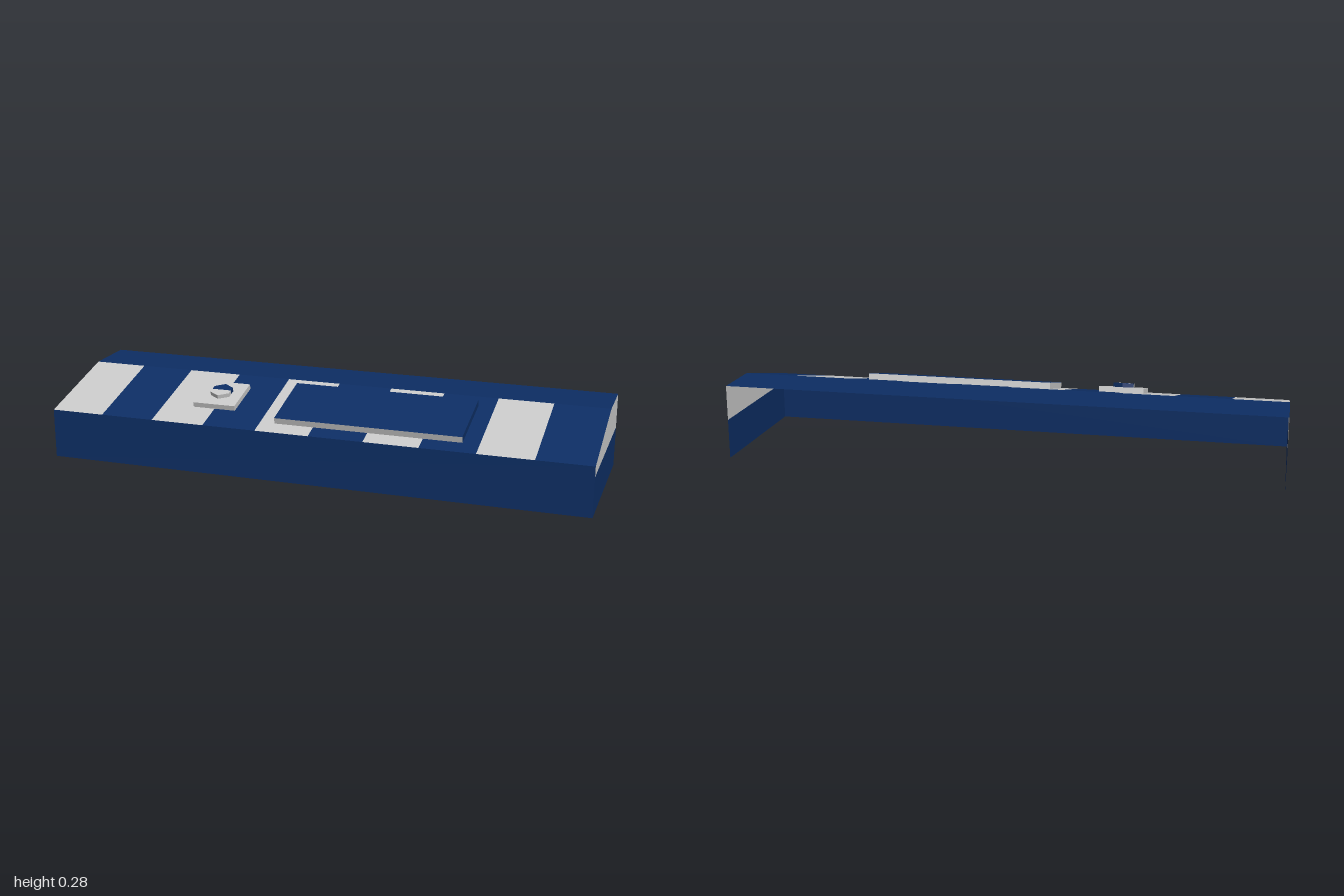
import * as THREE from 'three';

const D = 0.278, LOW = 0.182, HIGH = 0.273, RIDGE = -0.085, SPLIT = 0.145;
const TILT = Math.atan2(HIGH - LOW, D - RIDGE);
const SLOPE = Math.hypot(HIGH - LOW, D - RIDGE);

export function createModel() {
  const root = new THREE.Group();
  root.name = 'casing';
  const material = (name, color) => {
    const m = new THREE.MeshStandardMaterial({ color, side: THREE.DoubleSide });
    m.name = name;
    return m;
  };
  const navy = material('navy', 0x0d2e64);
  const grey = material('lightGrey', 0xcacaca);

  const add = (parent, name, geometry, mat) => {
    const mesh = new THREE.Mesh(geometry, mat);
    mesh.name = name;
    parent.add(mesh);
    return mesh;
  };
  // Flat polygon in xy at height z, with an optional hole
  const flat = (pts, z = 0, hole) => {
    const shape = new THREE.Shape(pts.map(p => new THREE.Vector2(...p)));
    if (hole) shape.holes.push(new THREE.Path(hole.map(p => new THREE.Vector2(...p))));
    return new THREE.ShapeGeometry(shape).translate(0, 0, z);
  };
  const rect = (x0, x1, y0, y1) => [[x0, y0], [x1, y0], [x1, y1], [x0, y1]];
  // Upright strip following a counter-clockwise line of points
  const wall = (pts, z0, z1) => {
    const v = [];
    for (let i = 0; i < pts.length - 1; i++) {
      const [a, b] = [pts[i], pts[i + 1]];
      v.push(...a, z0, ...b, z0, ...b, z1, ...a, z0, ...b, z1, ...a, z1);
    }
    const g = new THREE.BufferGeometry();
    g.setAttribute('position', new THREE.Float32BufferAttribute(v, 3));
    g.computeVertexNormals();
    return g;
  };

  // Shell: front wall, flat rear top and two-tone ends; back and bottom are open
  add(root, 'frontWall', flat(rect(-1, 1, 0, LOW), D), navy);
  add(root, 'rearTop', flat(rect(-1, 1, -RIDGE, D)).rotateX(-Math.PI / 2), navy).position.y = HIGH;
  for (const s of [1, -1]) {
    const end = (name, pts, mat) => add(root, name,
      flat(pts.map(([z, y]) => [-s * z, y])).rotateY(s * Math.PI / 2).translate(s, 0, 0), mat);
    end('lowerEnd', [[D, 0], [-D, 0], [-D, SPLIT], [D, SPLIT]], navy);
    end('upperEnd', [[D, SPLIT], [-D, SPLIT], [-D, HIGH], [RIDGE, HIGH], [D, LOW]], grey);
  }

  // Sloped deck: local y runs up the slope, local z points outward
  const deck = new THREE.Group();
  deck.name = 'slopedDeck';
  deck.position.set(0, LOW, D);
  deck.rotation.x = TILT - Math.PI / 2;
  root.add(deck);

  const panel = { x0: -0.145, x1: 0.54, y0: 0.06, y1: 0.314, h: 0.0225 };
  const badge = { x0: -0.482, x1: -0.32, y0: 0.117, y1: 0.279, h: 0.019 };
  const openings = [panel, badge];

  // Alternating stripes, cut around the raised parts
  const cuts = [panel.x0, panel.x1, badge.x0, badge.x1];
  for (let i = 0; i <= 10; i++) cuts.push(-1 + i * 0.2);
  cuts.sort((a, b) => a - b);
  for (let i = 0; i < cuts.length - 1; i++) {
    const [a, b] = [cuts[i], cuts[i + 1]];
    if (b - a < 1e-4) continue;
    const mid = (a + b) / 2;
    const mat = Math.floor((mid + 1) / 0.2) % 2 ? navy : grey;
    const o = openings.find(q => mid > q.x0 && mid < q.x1);
    const spans = o ? [[0, o.y0], [o.y1, SLOPE]] : [[0, SLOPE]];
    for (const [y0, y1] of spans) add(deck, 'deckStripe', flat(rect(a, b, y0, y1)), mat);
  }

  // Raised panel
  const p = rect(panel.x0, panel.x1, panel.y0, panel.y1);
  add(deck, 'panelTop', flat(p, panel.h), navy);
  add(deck, 'panelFrontEdge', wall([p[0], p[1]], 0, panel.h), grey);
  add(deck, 'panelLeftEdge', wall([p[1], p[2]], 0, panel.h), navy);
  add(deck, 'panelBackAndRightEdge', wall([p[2], p[3], p[0]], 0, panel.h), grey);

  // Square mount with a hexagonal knob, whose rear half is navy
  const sq = rect(badge.x0, badge.x1, badge.y0, badge.y1);
  const cx = -0.4, cy = 0.199, r = 0.042, w = r * Math.cos(Math.PI / 6), top = 0.034;
  const half = s => [[w, 0], [w, r / 2], [0, r], [-w, r / 2], [-w, 0]]
    .map(([x, y]) => [cx + s * x, cy + s * y]);
  add(deck, 'mountTop', flat(sq, badge.h, [...half(1), ...half(-1)]
    .filter(q => Math.abs(q[1] - cy) > 1e-6)), grey);
  add(deck, 'mountEdge', wall([...sq, sq[0]], 0, badge.h), grey);
  for (const [s, mat, name] of [[1, navy, 'knobRear'], [-1, grey, 'knobFront']]) {
    add(deck, name + 'Top', flat(half(s), top), mat);
    add(deck, name + 'Side', wall(half(s), badge.h, top), mat);
  }
  return root;
}
